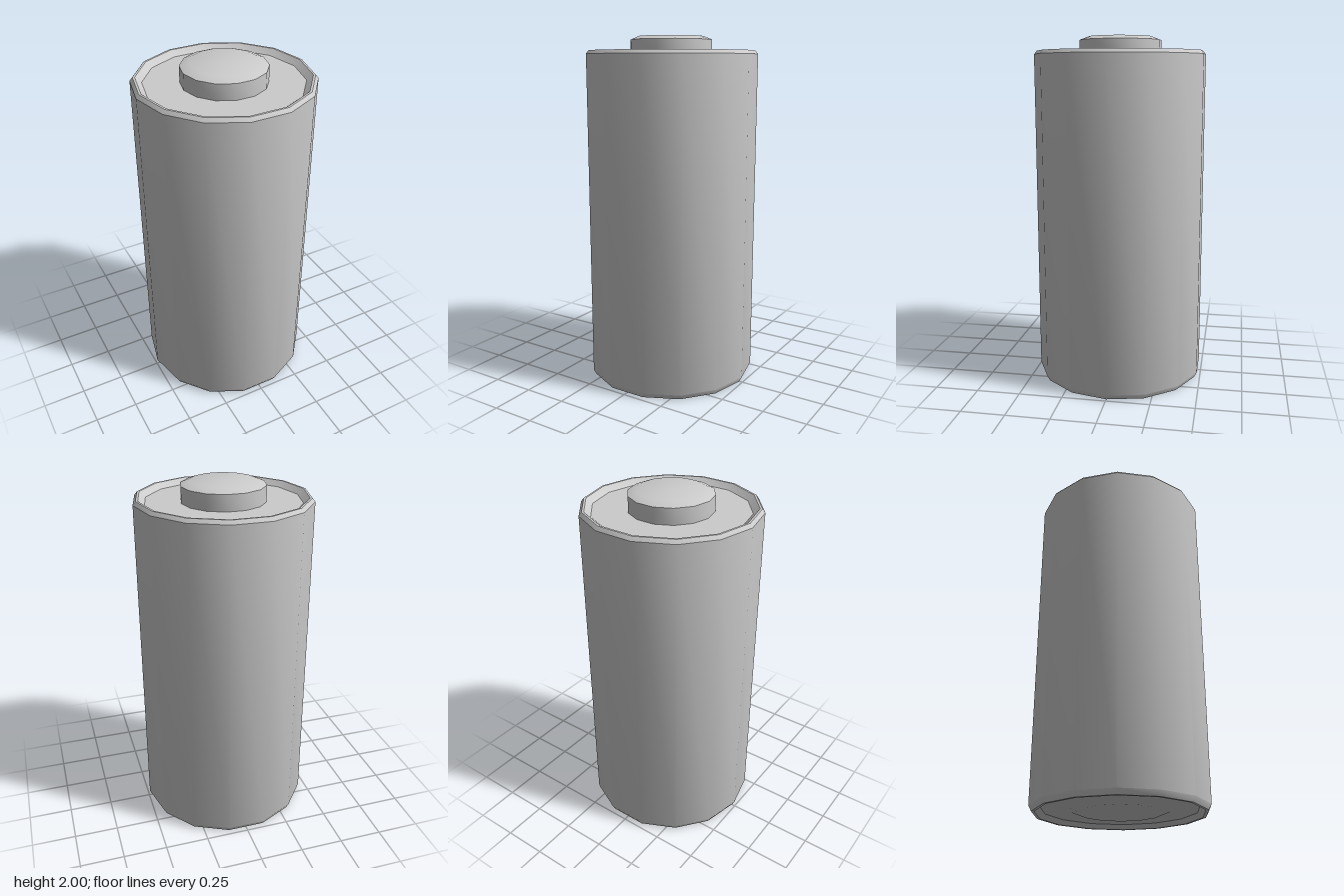
import * as THREE from 'three';
import { toCreasedNormals } from 'three/addons/utils/BufferGeometryUtils.js';

const SIDES = 14;
const CREASE = THREE.MathUtils.degToRad(30);

// Turns a [radius, height] profile, listed from bottom to top, into a 14-sided mesh
function turned(name, profile, material) {
  const points = profile.map(([r, y]) => new THREE.Vector2(r, y));
  const lathe = new THREE.LatheGeometry(points, SIDES, Math.PI / 2);
  const mesh = new THREE.Mesh(toCreasedNormals(lathe, CREASE), material);
  mesh.name = name;
  return mesh;
}

export function createModel() {
  const group = new THREE.Group();
  group.name = 'battery';
  const grey = new THREE.MeshStandardMaterial({ color: 0xcccccc });

  // Outer sleeve with bevelled edges, rolled in at both ends
  group.add(turned('casing', [
    [0.433, 0.025], [0.463, 0], [0.479, 0],
    [0.495, 0.03], [0.495, 1.90],
    [0.479, 1.92], [0.467, 1.92], [0.433, 1.89],
  ], grey));

  // Recessed base with a shallow raised contact
  group.add(turned('bottomContact', [
    [0, 0.007], [0.235, 0.007], [0.28, 0.025], [0.433, 0.025],
  ], grey));

  // Recessed top plate
  group.add(turned('topPlate', [[0.433, 1.89], [0, 1.89]], grey));

  // Raised button with a soft bevel
  group.add(turned('topButton', [
    [0.235, 1.89], [0.235, 1.98], [0.185, 2], [0, 2],
  ], grey));

  return group;
}
